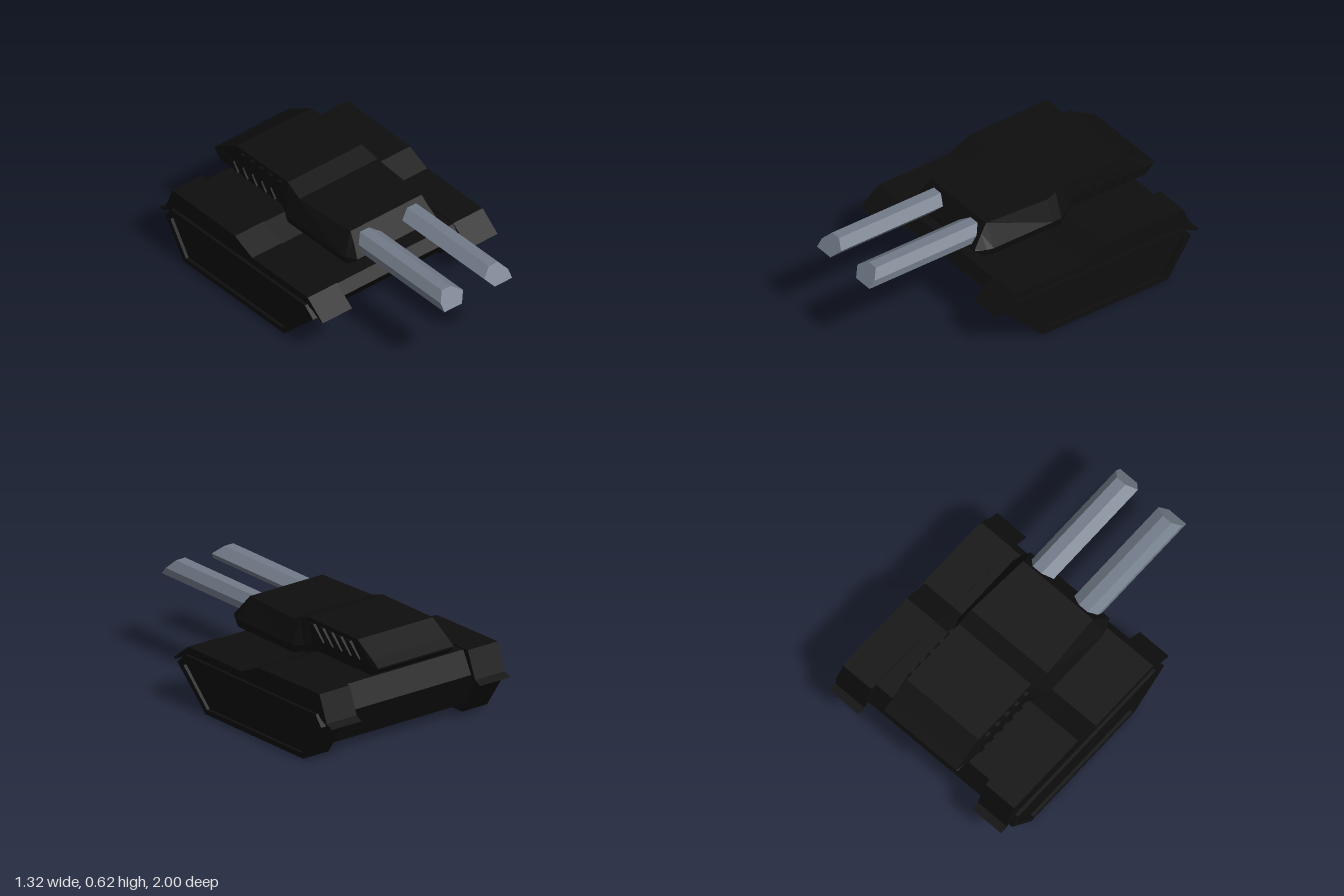
import * as THREE from 'three';

export function createModel() {
  const model = new THREE.Group();
  const armour = new THREE.MeshStandardMaterial({ color: 0x0e0e0e, flatShading: true });
  armour.name = 'black armour';
  const steel = new THREE.MeshStandardMaterial({ color: 0x717b88, flatShading: true });
  steel.name = 'blue grey steel';

  const add = (name, geometry, material = armour) => {
    const mesh = new THREE.Mesh(geometry, material);
    mesh.name = name;
    model.add(mesh);
    return mesh;
  };
  const toShape = (pts) => new THREE.Shape(pts.map(([a, b]) => new THREE.Vector2(a, b)));

  // Side profile of [z, y] points, extruded across x from x0 to x1
  const slab = (pts, x0, x1, hole) => {
    const shape = toShape(pts);
    if (hole) shape.holes.push(toShape(hole));
    return new THREE.ExtrudeGeometry(shape, { depth: x1 - x0, bevelEnabled: false })
      .rotateY(-Math.PI / 2).translate(x1, 0, 0);
  };
  // One slab on each side of the centre line
  const pair = (name, pts, x0, x1, hole) => {
    add(name + 'Left', slab(pts, x0, x1, hole));
    add(name + 'Right', slab(pts, -x1, -x0, hole));
  };

  // Hull between the tracks
  add('hull', slab([
    [0.14, 0.06], [0.33, 0.28], [0.28, 0.34], [-0.2, 0.34], [-0.35, 0.405],
    [-0.85, 0.412], [-0.92, 0.28], [-0.8, 0.06],
  ], -0.485, 0.485));

  // Tracks with a raised rim around a recessed side panel
  const track = [[0.1, 0], [0.35, 0.24], [0.28, 0.3], [-0.88, 0.3], [-0.93, 0.235], [-0.77, 0]];
  const inset = [[0.085, 0.03], [0.295, 0.235], [0.26, 0.27], [-0.86, 0.27], [-0.885, 0.23], [-0.75, 0.03]];
  pair('track', track, 0.48, 0.64);
  pair('trackRim', track, 0.64, 0.66, inset);

  // Fenders with drooping flaps front and rear
  pair('fender', [
    [0.41, 0.24], [0.28, 0.345], [-0.2, 0.345], [-0.35, 0.412], [-0.89, 0.42],
    [-0.955, 0.26], [-1, 0.238], [-0.975, 0.235], [-0.91, 0.27], [-0.88, 0.29],
    [0.28, 0.29], [0.32, 0.28], [0.39, 0.24],
  ], 0.425, 0.64);

  // Turret ring
  add('turretRing', new THREE.CylinderGeometry(0.18, 0.18, 0.1, 16).translate(0, 0.37, -0.14));

  // Turret lofted through six-sided sections:
  // z, then y and half width of the bottom, shoulder and top
  const sections = [
    [-0.96, 0.495, 0.5, 0.505, 0.27, 0.275, 0.27],
    [-0.9, 0.445, 0.5, 0.54, 0.275, 0.28, 0.27],
    [-0.77, 0.445, 0.5, 0.62, 0.275, 0.28, 0.27],
    [-0.38, 0.445, 0.5, 0.62, 0.275, 0.28, 0.27],
    [-0.33, 0.425, 0.46, 0.62, 0.29, 0.3, 0.27],
    [-0.27, 0.4, 0.45, 0.6, 0.32, 0.335, 0.278],
    [-0.21, 0.4, 0.45, 0.58, 0.32, 0.335, 0.285],
    [0.2, 0.4, 0.45, 0.58, 0.32, 0.335, 0.26],
    [0.24, 0.4, 0.45, 0.53, 0.315, 0.325, 0.27],
    [0.3, 0.445, 0.45, 0.455, 0.29, 0.295, 0.29],
  ].map(([z, yb, ym, yt, wb, wm, wt]) => [
    [-wb, yb, z], [wb, yb, z], [wm, ym, z], [wt, yt, z], [-wt, yt, z], [-wm, ym, z],
  ]);
  const verts = [];
  for (let s = 0; s < sections.length - 1; s++) {
    const a = sections[s], b = sections[s + 1];
    for (let i = 0; i < 6; i++) {
      const j = (i + 1) % 6;
      verts.push(a[i], a[j], b[j], a[i], b[j], b[i]);
    }
  }
  const back = sections[0], front = sections[sections.length - 1];
  for (let i = 1; i < 5; i++) {
    verts.push(front[0], front[i], front[i + 1], back[0], back[i + 1], back[i]);
  }
  const turret = new THREE.BufferGeometry();
  turret.setAttribute('position', new THREE.Float32BufferAttribute(verts.flat(), 3));
  turret.computeVertexNormals();
  add('turret', turret);

  // Chevron louvres along the rear sides of the turret
  for (let i = 0; i < 5; i++) {
    const z = -0.4 - i * 0.08;
    pair('louvre' + (i + 1), [
      [z, 0.6], [z - 0.09, 0.515], [z - 0.05, 0.455], [z - 0.02, 0.455],
      [z - 0.06, 0.515], [z + 0.03, 0.6],
    ], 0.262, 0.29);
  }

  // Twin six-sided gun barrels with raked muzzles
  const bore = [[0.12, 0.468], [0.247, 0.468], [0.247, 0.51], [0.205, 0.558], [0.14, 0.558], [0.077, 0.518]];
  for (const side of [1, -1]) {
    const barrel = new THREE.ExtrudeGeometry(
      toShape(bore.map(([x, y]) => [x * side, y])), { depth: 0.9, bevelEnabled: false },
    ).translate(0, 0, 0.1);
    const p = barrel.attributes.position;
    for (let i = 0; i < p.count; i++) {
      if (p.getZ(i) > 0.9) p.setZ(i, 1 - (p.getY(i) - 0.468) * 0.83);
    }
    barrel.computeVertexNormals();
    add(side > 0 ? 'barrelLeft' : 'barrelRight', barrel, steel);
  }

  return model;
}
